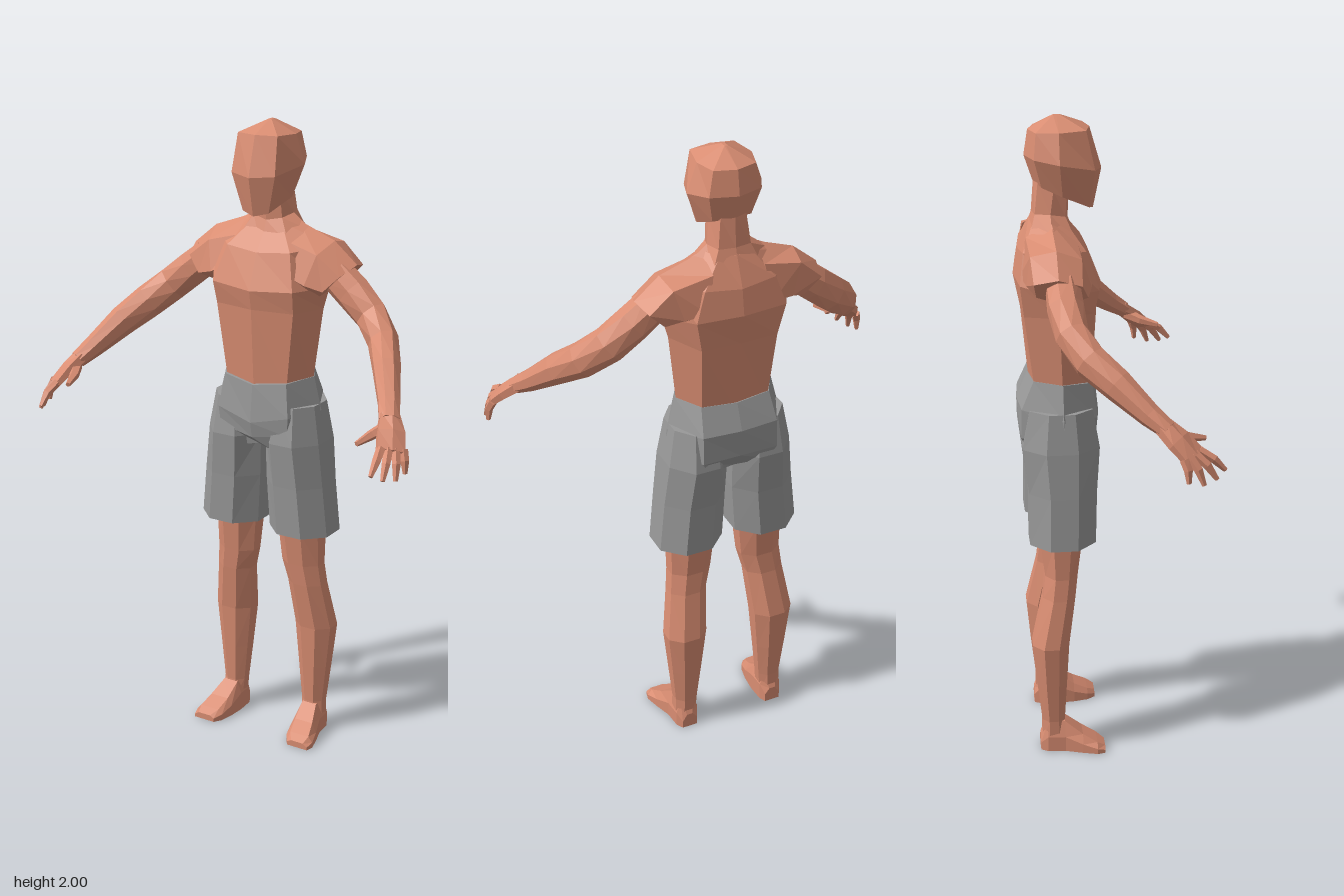
import * as THREE from 'three';

const skin = new THREE.MeshStandardMaterial({ color: 0xd98d72 });
skin.name = 'skin';
const cloth = new THREE.MeshStandardMaterial({ color: 0x989898 });
cloth.name = 'shorts grey';

// Faceted solid through rings of points, closed at both ends, always facing outward
function loft(name, rings, material) {
  const tris = [];
  const centre = r => r.reduce((s, p) => s.map((v, k) => v + p[k] / r.length), [0, 0, 0]);
  const n = rings[0].length;
  const first = centre(rings[0]), last = centre(rings[rings.length - 1]);
  for (let j = 0; j < n; j++) {
    const k = (j + 1) % n;
    tris.push([first, rings[0][k], rings[0][j]]);
    for (let i = 0; i + 1 < rings.length; i++) {
      const a = rings[i], b = rings[i + 1];
      tris.push([a[j], a[k], b[k]], [a[j], b[k], b[j]]);
    }
    const e = rings[rings.length - 1];
    tris.push([last, e[j], e[k]]);
  }
  let volume = 0;
  for (const [a, b, c] of tris) {
    volume += new THREE.Vector3(...a).dot(new THREE.Vector3(...b).cross(new THREE.Vector3(...c)));
  }
  if (volume < 0) tris.forEach(t => t.reverse());
  const g = new THREE.BufferGeometry();
  g.setAttribute('position', new THREE.Float32BufferAttribute(tris.flat(2), 3));
  g.computeVertexNormals();
  const mesh = new THREE.Mesh(g, material);
  mesh.name = name;
  return mesh;
}

// Full ring from its left half, listed front centre to back centre
const sym = half => [...half, ...half.slice(1, -1).reverse().map(([x, y, z]) => [-x, y, z])];

// Level ring from its extents
function oval(x0, x1, y, z0, z1, n = 8) {
  return Array.from({ length: n }, (_, i) => {
    const a = (i + 0.5) / n * Math.PI * 2, s = 1 / Math.cos(Math.PI / n);
    return [(x0 + x1) / 2 + Math.cos(a) * s * (x1 - x0) / 2, y,
      (z0 + z1) / 2 + Math.sin(a) * s * (z1 - z0) / 2];
  });
}

// Rings square to a path; each stop is [x, y, z, half width, half height]
function limb(stops, n, wide) {
  const pts = stops.map(s => new THREE.Vector3(s[0], s[1], s[2]));
  return stops.map((s, i) => {
    const dir = pts[Math.min(i + 1, pts.length - 1)].clone().sub(pts[Math.max(i - 1, 0)]).normalize();
    const u = (wide ? wide.clone().addScaledVector(dir, -wide.dot(dir))
      : dir.clone().cross(new THREE.Vector3(0, 1, 0))).normalize();
    const v = u.clone().cross(dir);
    return Array.from({ length: n }, (_, j) => {
      const a = (j + 0.5) / n * Math.PI * 2;
      return pts[i].clone().addScaledVector(u, Math.cos(a) * s[3])
        .addScaledVector(v, Math.sin(a) * s[4]).toArray();
    });
  });
}

export function createModel() {
  const model = new THREE.Group();
  model.name = 'figure';
  const add = (name, rings, material = skin) => model.add(loft(name, rings, material));
  const pair = (name, rings, material = skin) => {
    add('left ' + name, rings, material);
    add('right ' + name, rings.map(r => r.map(([x, y, z]) => [-x, y, z])), material);
  };

  // Head: crown, brow and jaw rings
  add('head', [
    sym([[0, 2, -0.13], [0.005, 2, -0.13], [0.005, 2, -0.14], [0.005, 2, -0.15], [0, 2, -0.15]]),
    sym([[0, 1.965, -0.045], [0.068, 1.965, -0.06], [0.084, 1.962, -0.14], [0.065, 1.96, -0.205], [0, 1.96, -0.225]]),
    sym([[0, 1.843, -0.01], [0.075, 1.85, -0.035], [0.115, 1.875, -0.14], [0.08, 1.885, -0.212], [0, 1.885, -0.237]]),
    sym([[0, 1.724, -0.035], [0.045, 1.735, -0.05], [0.078, 1.775, -0.13], [0.06, 1.8, -0.19], [0, 1.81, -0.212]]),
  ]);

  // Neck
  add('neck', [
    sym([[0, 1.79, -0.105], [0.045, 1.79, -0.115], [0.055, 1.79, -0.155], [0.04, 1.81, -0.2], [0, 1.82, -0.21]]),
    sym([[0, 1.70, -0.11], [0.05, 1.71, -0.12], [0.065, 1.72, -0.165], [0.05, 1.72, -0.21], [0, 1.72, -0.218]]),
    sym([[0, 1.62, -0.08], [0.09, 1.64, -0.09], [0.13, 1.67, -0.165], [0.08, 1.65, -0.23], [0, 1.65, -0.24]]),
  ]);

  // Torso from collar to waist
  add('torso', [
    sym([[0, 1.69, -0.115], [0.05, 1.695, -0.12], [0.08, 1.705, -0.165], [0.05, 1.7, -0.215], [0, 1.7, -0.225]]),
    sym([[0, 1.61, -0.055], [0.11, 1.62, -0.065], [0.2, 1.64, -0.15], [0.11, 1.62, -0.25], [0, 1.61, -0.262]]),
    sym([[0, 1.5, -0.013], [0.14, 1.51, -0.03], [0.2, 1.51, -0.15], [0.14, 1.53, -0.262], [0, 1.53, -0.275]]),
    sym([[0, 1.44, -0.024], [0.135, 1.44, -0.045], [0.18, 1.44, -0.15], [0.12, 1.43, -0.25], [0, 1.43, -0.255]]),
    sym([[0, 1.19, -0.04], [0.105, 1.19, -0.06], [0.15, 1.19, -0.14], [0.105, 1.19, -0.22], [0, 1.19, -0.232]]),
  ]);

  // Shoulders, ending in a wide cuff round the upper arm
  pair('shoulder', [
    [[0.08, 1.7, -0.165], [0.08, 1.65, -0.09], [0.1, 1.56, -0.045], [0.1, 1.46, -0.13], [0.1, 1.55, -0.26], [0.08, 1.66, -0.24]],
    [[0.21, 1.652, -0.16], [0.19, 1.62, -0.085], [0.165, 1.53, -0.055], [0.165, 1.475, -0.13], [0.17, 1.54, -0.245], [0.2, 1.635, -0.235]],
    [[0.287, 1.588, -0.16], [0.265, 1.562, -0.09], [0.22, 1.515, -0.07], [0.178, 1.482, -0.13], [0.22, 1.52, -0.22], [0.27, 1.572, -0.23]],
  ]);

  // Arms
  pair('arm', limb([
    [0.225, 1.555, -0.145, 0.052, 0.054], [0.285, 1.508, -0.142, 0.054, 0.056],
    [0.355, 1.45, -0.13, 0.048, 0.056], [0.42, 1.392, -0.085, 0.046, 0.054],
    [0.47, 1.338, -0.015, 0.043, 0.048], [0.525, 1.265, 0.07, 0.034, 0.034],
    [0.552, 1.23, 0.118, 0.032, 0.026],
  ], 8));

  // Hands
  const across = new THREE.Vector3(0.72, -0.12, -0.68);
  pair('palm', limb([
    [0.545, 1.24, 0.105, 0.032, 0.026], [0.572, 1.205, 0.145, 0.046, 0.022],
    [0.594, 1.163, 0.186, 0.048, 0.016],
  ], 6, across));
  const tips = [[0.632, 1.1, 0.167], [0.625, 1.09, 0.211], [0.604, 1.098, 0.25], [0.58, 1.115, 0.277]];
  tips.forEach(([x, y, z], i) => {
    const t = i / 3, k = [0.618 - 0.046 * t, 1.166 + 0.008 * t, 0.155 + 0.048 * t];
    const mid = [(k[0] + x) / 2 + 0.004, (k[1] + y) / 2 + 0.005, (k[2] + z) / 2 + 0.004];
    pair('finger ' + (i + 1), limb([[...k, 0.014, 0.014], [...mid, 0.013, 0.013], [x, y, z, 0.007, 0.007]], 5, across));
  });
  pair('thumb', limb([[0.55, 1.215, 0.13, 0.022, 0.018], [0.525, 1.198, 0.175, 0.016, 0.015],
    [0.508, 1.185, 0.23, 0.008, 0.008]], 5));

  // Shorts: hips, then two open legs with a hem turned inward
  add('shorts hips', [
    sym([[0, 1.2, -0.032], [0.11, 1.215, -0.05], [0.157, 1.225, -0.14], [0.11, 1.225, -0.225], [0, 1.22, -0.238]]),
    sym([[0, 1.08, -0.02], [0.125, 1.11, -0.035], [0.184, 1.12, -0.14], [0.12, 1.14, -0.262], [0, 1.14, -0.272]]),
    sym([[0, 1.03, -0.03], [0.12, 1.05, -0.04], [0.19, 1.05, -0.14], [0.12, 1.05, -0.265], [0, 1.05, -0.265]]),
    sym([[0, 1.0, -0.07], [0.08, 0.98, -0.06], [0.15, 0.98, -0.14], [0.1, 1.0, -0.245], [0, 0.99, -0.22]]),
  ], cloth);
  pair('shorts leg', [
    oval(0.03, 0.178, 1.14, -0.05, -0.24), oval(0.008, 0.199, 1.02, -0.03, -0.262),
    oval(0.012, 0.214, 0.88, -0.04, -0.245), oval(0.022, 0.23, 0.718, -0.045, -0.246),
    oval(0.03, 0.222, 0.718, -0.053, -0.238), oval(0.04, 0.205, 0.77, -0.065, -0.225),
  ], cloth);

  // Legs
  pair('leg', [
    oval(0.04, 0.2, 0.86, -0.07, -0.22), oval(0.042, 0.187, 0.72, -0.085, -0.212),
    oval(0.054, 0.186, 0.6, -0.1, -0.2), oval(0.072, 0.193, 0.53, -0.108, -0.208),
    oval(0.086, 0.215, 0.375, -0.13, -0.243), oval(0.1, 0.2, 0.23, -0.138, -0.23),
    oval(0.112, 0.187, 0.105, -0.145, -0.216), oval(0.118, 0.187, 0.03, -0.14, -0.216),
  ]);

  // Feet: slices from heel to toe as [z, inner x, outer x, height]
  pair('foot', [
    [-0.222, 0.125, 0.175, 0.05], [-0.2, 0.115, 0.188, 0.1], [-0.145, 0.112, 0.192, 0.1],
    [-0.09, 0.116, 0.21, 0.06], [-0.045, 0.125, 0.222, 0.035], [-0.02, 0.142, 0.216, 0.02],
  ].map(([z, a, b, h]) => [[a, 0, z], [b, 0, z], [b, h * 0.5, z],
    [b - 0.015, h, z], [a + 0.015, h, z], [a, h * 0.6, z]]));

  return model;
}
